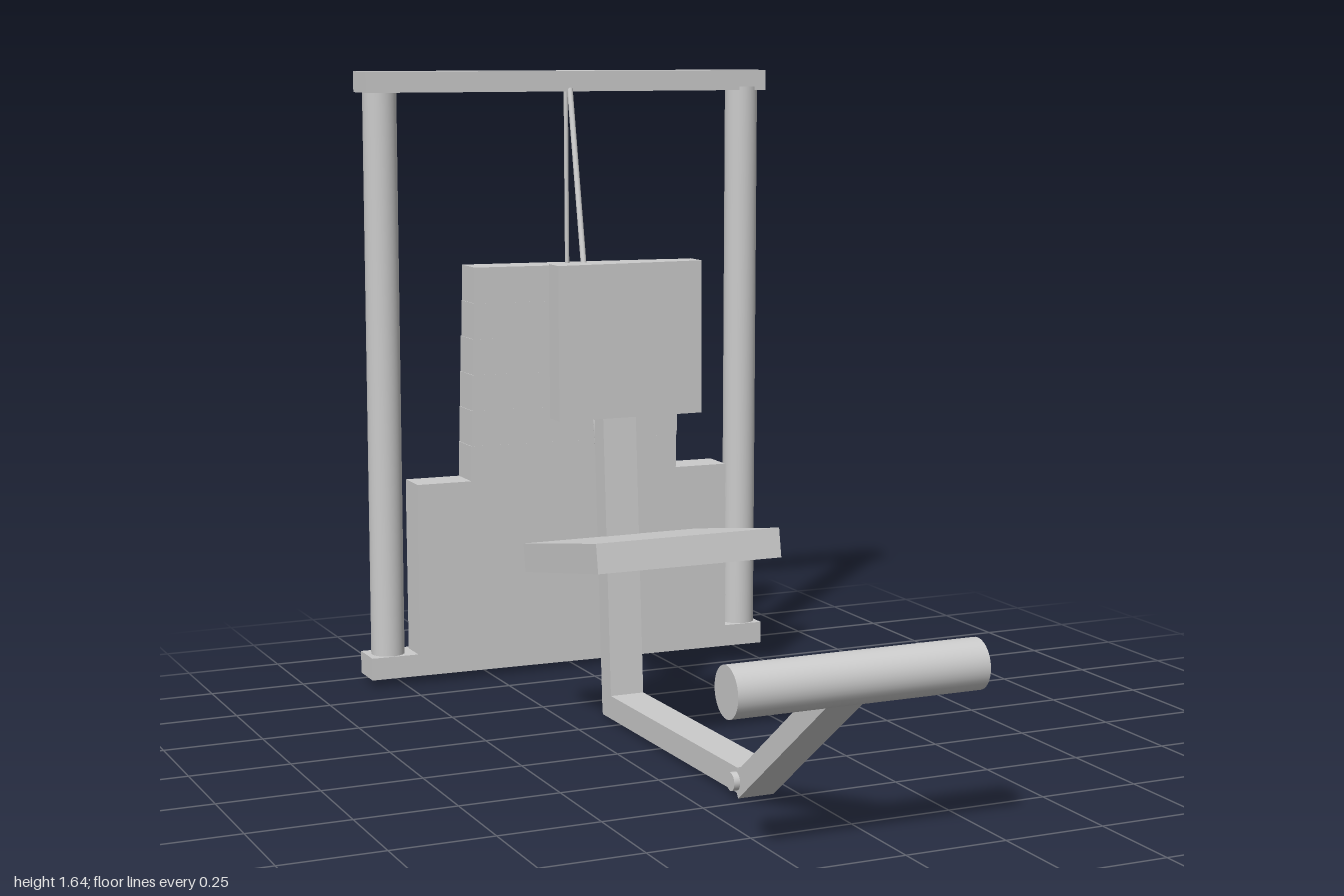
import * as THREE from 'three';

const material = new THREE.MeshStandardMaterial({ color: 0xcccccc });
const V = (x, y, z) => new THREE.Vector3(x, y, z);

export function createModel() {
  const model = new THREE.Group();

  function add(name, geometry, position, rotation = [0, 0, 0]) {
    const mesh = new THREE.Mesh(geometry, material);
    mesh.name = name;
    mesh.position.set(...position);
    mesh.rotation.set(...rotation);
    model.add(mesh);
    return mesh;
  }

  const box = (name, size, position, rotation) =>
    add(name, new THREE.BoxGeometry(...size), position, rotation);

  // Round bar running between two points
  function rod(name, a, b, radius, sides) {
    const mesh = add(name, new THREE.CylinderGeometry(radius, radius, a.distanceTo(b), sides),
      a.clone().add(b).multiplyScalar(0.5).toArray());
    mesh.quaternion.setFromUnitVectors(V(0, 1, 0), b.clone().sub(a).normalize());
    return mesh;
  }

  // Square bar in the middle plane of the seat, from (y, z) to (y, z)
  const seatX = -0.1;
  function bar(name, [y0, z0], [y1, z1], thickness) {
    const length = Math.hypot(y1 - y0, z1 - z0);
    return box(name, [0.09, thickness, length], [seatX, (y0 + y1) / 2, (z0 + z1) / 2],
      [-Math.atan2(y1 - y0, z1 - z0), 0, 0]);
  }

  // Weight tower frame
  box('topBeam', [1.17, 0.055, 0.1], [0.003, 1.62, -0.94], [0, 0.017, -0.004]);
  box('bottomBeam', [1.16, 0.06, 0.1], [-0.01, 0.05, -0.935], [0, 0, -0.008]);
  rod('rightPost', V(-0.53, 0.06, -0.935), V(-0.527, 1.6, -0.933), 0.045, 32);
  rod('leftPost', V(0.52, 0.06, -0.935), V(0.53, 1.6, -0.937), 0.045, 32);

  // Weight stack: five wide plates below six narrow, slightly leaning ones
  const weightZ = -0.918;
  const lowerHeight = 0.094;
  for (let i = 0; i < 5; i++) {
    box('widePlate', [0.91, lowerHeight, 0.1],
      [-0.005, 0.079 + lowerHeight * (i + 0.5), weightZ], [0, 0, -0.006]);
  }
  const upperHeight = 0.0965;
  for (let i = 0; i < 6; i++) {
    box('narrowPlate', [0.605, upperHeight, 0.1],
      [-0.005 + 0.0032 * i, 0.546 + upperHeight * (i + 0.5), weightZ], [0, 0, -0.012]);
  }

  // Cables from the top beam to the stack and to the seat frame
  rod('stackCable', V(0, 1.6, -0.93), V(0, 1.1, -0.93), 0.006, 10);
  rod('pullCable', V(-0.002, 1.6, -0.895), V(-0.1, 0.03, -0.35), 0.008, 10);

  // Seat frame
  bar('baseBar', [0.048, 0.46], [0.042, -0.345], 0.06);
  bar('uprightBar', [0.018, -0.317], [0.875, -0.366], 0.06);
  bar('legBar', [0.028, 0.45], [0.385, 0.94], 0.055);
  rod('legPivot', V(-0.16, 0.045, 0.455), V(-0.045, 0.045, 0.455), 0.022, 20);
  rod('footRoller', V(-0.4, 0.395, 0.942), V(0.205, 0.395, 0.942), 0.058, 40);

  // Pads
  box('seat', [0.48, 0.072, 0.485], [-0.125, 0.488, -0.083], [-0.175, 0, 0]);
  box('backrest', [0.39, 0.39, 0.064], [-0.085, 0.985, -0.322]);

  return model;
}
